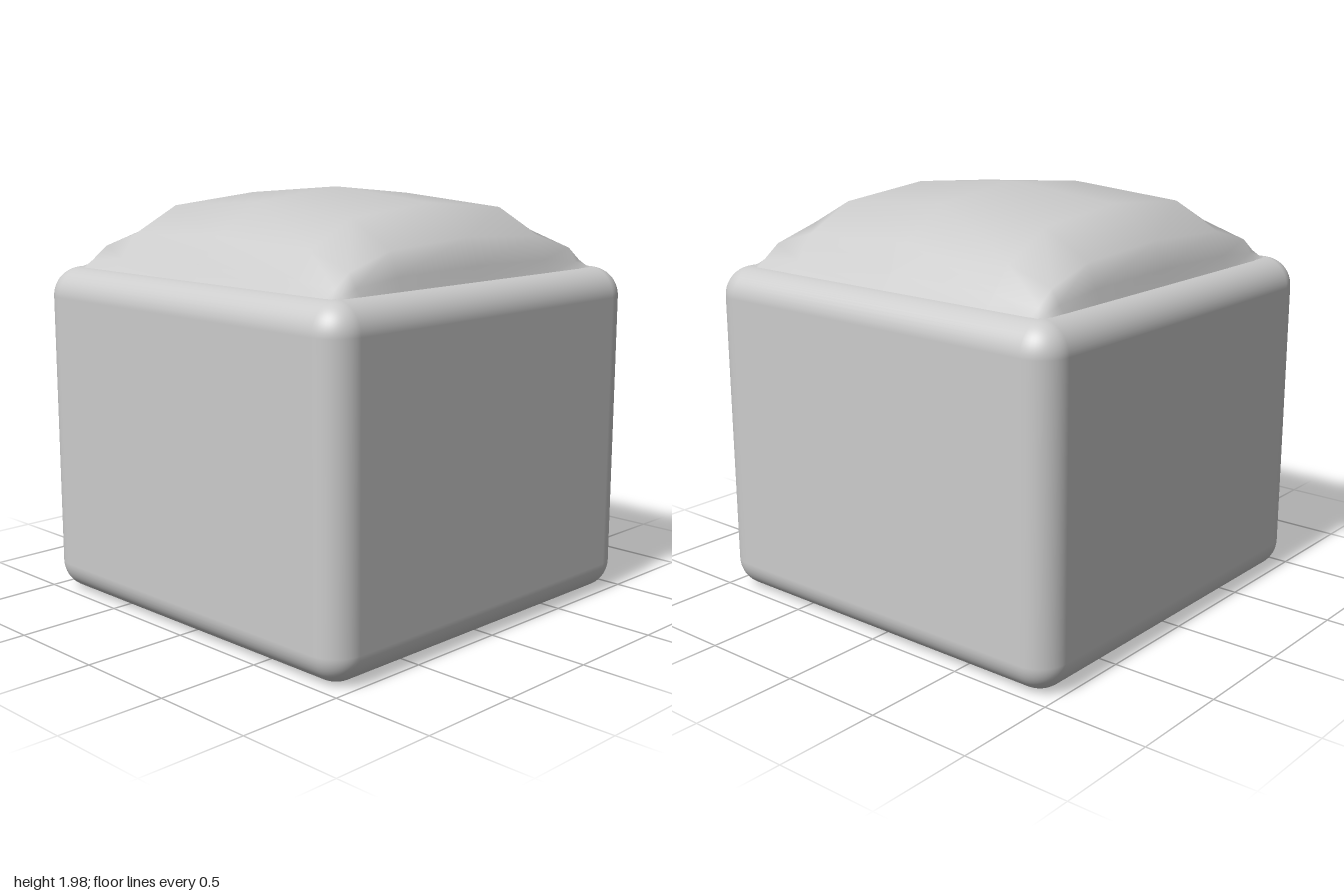
import * as THREE from 'three';
import { RoundedBoxGeometry } from 'three/addons/geometries/RoundedBoxGeometry.js';

const material = new THREE.MeshStandardMaterial({ color: 0xcccccc });

// Half profiles of the cushion from the middle outwards: [distance, height]
const acrossX = [[0, 0.385], [0.5, 0.335], [0.745, 0.195], [0.83, 0.07], [0.885, 0]];
const acrossZ = [[0, 0.385], [0.59, 0.335], [0.82, 0.195], [0.86, 0.07], [0.885, 0]];

// Mirror a half profile to run from the negative to the positive side
const mirrored = half => [
  ...half.slice(1).reverse().map(([d, h]) => [-d, h]),
  ...half,
];

// Pillow surface: the two profiles multiplied over a grid
function cushionGeometry() {
  const xs = mirrored(acrossX), zs = mirrored(acrossZ);
  const peak = acrossX[0][1];
  const geometry = new THREE.PlaneGeometry(1, 1, xs.length - 1, zs.length - 1);
  geometry.rotateX(-Math.PI / 2);
  const position = geometry.attributes.position;
  zs.forEach(([z, hz], row) => xs.forEach(([x, hx], column) => {
    position.setXYZ(row * xs.length + column, x, 1.595 + hx * hz / peak, z);
  }));
  geometry.computeVertexNormals();
  return geometry;
}

export function createModel() {
  const group = new THREE.Group();
  group.name = 'cushionedStool';

  // Rounded block
  const body = new THREE.Mesh(new RoundedBoxGeometry(2, 1.6, 2, 6, 0.14), material);
  body.name = 'body';
  body.position.y = 0.8;
  group.add(body);

  // Domed cushion on top
  const cushionMaterial = material.clone();
  cushionMaterial.side = THREE.DoubleSide;
  const cushion = new THREE.Mesh(cushionGeometry(), cushionMaterial);
  cushion.name = 'cushion';
  group.add(cushion);

  return group;
}
